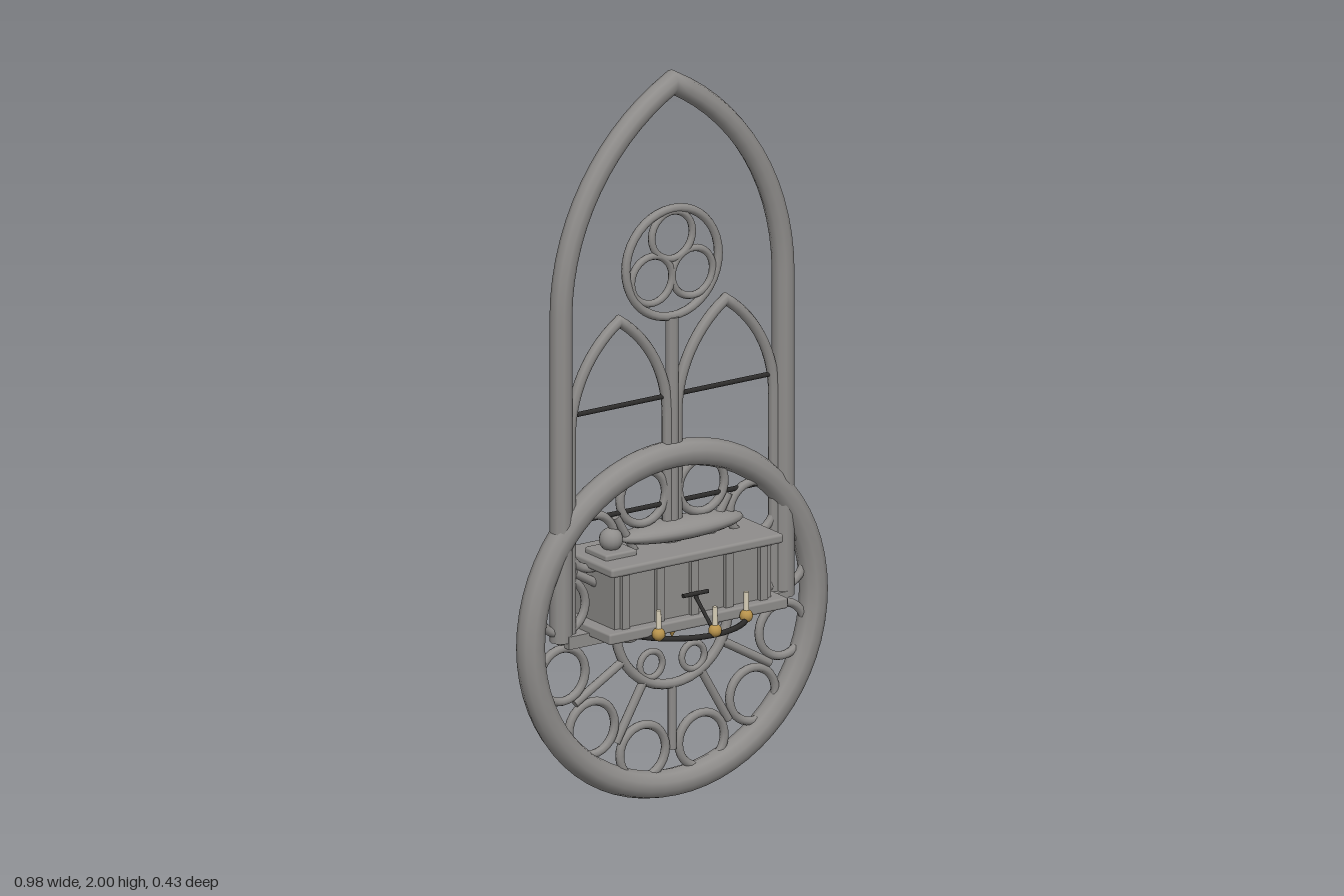
import * as THREE from 'three';
import { RoundedBoxGeometry } from 'three/addons/geometries/RoundedBoxGeometry.js';

const mat = (name, color) => {
  const m = new THREE.MeshStandardMaterial({ color });
  m.name = name;
  return m;
};

export function createModel() {
  const stone = mat('stone', 0x8f8d8b);
  const iron = mat('dark iron', 0x2e2d2c);
  const brass = mat('brass', 0xb8934c);
  const wax = mat('candle wax', 0xd8cfb8);
  const model = new THREE.Group();

  const group = (name) => {
    const g = new THREE.Group();
    g.name = name;
    model.add(g);
    return g;
  };
  const add = (parent, name, geo, material, x = 0, y = 0, z = 0) => {
    const m = new THREE.Mesh(geo, material);
    m.name = name;
    m.position.set(x, y, z);
    parent.add(m);
    return m;
  };
  const ring = (parent, name, x, y, R, r, sides = 8, segs = 28) =>
    add(parent, name, new THREE.TorusGeometry(R, r, sides, segs), stone, x, y);
  // round bar between two points
  const bar = (parent, name, a, b, r, material) => {
    const p = new THREE.Vector3(...a), q = new THREE.Vector3(...b);
    const d = q.clone().sub(p);
    const m = add(parent, name, new THREE.CylinderGeometry(r, r, d.length(), 8), material);
    m.position.copy(p).add(q).multiplyScalar(0.5);
    m.quaternion.setFromUnitVectors(new THREE.Vector3(0, 1, 0), d.normalize());
    return m;
  };

  // round moulding swept along a flat path, mitred at corners
  const sweep = (pts, r, sides = 10) => {
    const geo = new THREE.PlaneGeometry(1, 1, sides, pts.length - 1);
    const { position, normal } = geo.attributes;
    pts.forEach((p, i) => {
      const t0 = p.clone().sub(pts[Math.max(i - 1, 0)]).normalize();
      const t1 = pts[Math.min(i + 1, pts.length - 1)].clone().sub(p).normalize();
      if (i === 0) t0.copy(t1);
      if (i === pts.length - 1) t1.copy(t0);
      const t = t0.clone().add(t1).normalize();
      const k = r / t.dot(t1);
      for (let j = 0; j <= sides; j++) {
        const a = (j / sides) * Math.PI * 2, c = Math.cos(a), s = Math.sin(a);
        const v = i * (sides + 1) + j;
        position.setXYZ(v, p.x + t.y * c * k, p.y - t.x * c * k, s * r);
        normal.setXYZ(v, t.y * c, -t.x * c, s);
      }
    });
    return geo;
  };
  // pointed arch path: half-span w, foot, springing and apex heights
  const archPath = (w, foot, spring, apex, n = 14) => {
    const h = apex - spring, R = (w * w + h * h) / (2 * w);
    const end = Math.asin(h / R), right = [new THREE.Vector2(w, foot)];
    for (let i = 0; i <= n; i++) {
      const a = (end * i) / n;
      right.push(new THREE.Vector2(w - R + R * Math.cos(a), spring + R * Math.sin(a)));
    }
    right[right.length - 1].x = 0;
    const left = right.slice(0, -1).reverse().map((p) => new THREE.Vector2(-p.x, p.y));
    return [...right, ...left];
  };

  // lancet window
  const lancet = group('lancetWindow');
  add(lancet, 'mainArch', sweep(archPath(0.355, 0.49, 1.38, 1.966), 0.03), stone);
  for (const s of [-1, 1])
    add(lancet, 'subArch', sweep(archPath(0.155, 0.5, 1.05, 1.338), 0.015, 8), stone, s * 0.17);
  bar(lancet, 'mullion', [0, 0.5, 0], [0, 1.32, 0], 0.018, stone);
  for (const y of [0.81, 1.105])
    bar(lancet, 'ironTieBar', [-0.34, y, 0], [0.34, y, 0], 0.007, iron);
  add(lancet, 'sill', new THREE.BoxGeometry(0.7, 0.035, 0.06), stone, 0, 0.49);

  // trefoil roundel
  const roundel = group('trefoilRoundel');
  ring(roundel, 'roundelRing', 0, 1.47, 0.148, 0.012, 8, 40);
  for (let i = 0; i < 3; i++) {
    const a = Math.PI / 2 + (i * Math.PI * 2) / 3;
    ring(roundel, 'foil', 0.075 * Math.cos(a), 1.47 + 0.075 * Math.sin(a), 0.065, 0.01);
  }

  // rose window
  const rose = group('roseWindow');
  const cy = 0.49;
  ring(rose, 'outerRing', 0, cy, 0.452, 0.038, 10, 64);
  ring(rose, 'innerRing', 0, cy, 0.18, 0.014, 8, 40);
  for (let i = 0; i < 12; i++) {
    const a = (i * Math.PI) / 6, b = a + Math.PI / 12;
    bar(rose, 'spoke', [0.18 * Math.cos(a), cy + 0.18 * Math.sin(a), 0],
      [0.36 * Math.cos(a), cy + 0.36 * Math.sin(a), 0], 0.012, stone);
    ring(rose, 'outerFoil', 0.363 * Math.cos(b), cy + 0.363 * Math.sin(b), 0.073, 0.012);
    if (i % 2) // inner foils on alternate spokes, offset from the vertical
      ring(rose, 'innerFoil', 0.134 * Math.cos(a + Math.PI / 6),
        cy + 0.134 * Math.sin(a + Math.PI / 6), 0.036, 0.009, 8, 20)
        .position.set(0.134 * Math.sin(a), cy + 0.134 * Math.cos(a), 0);
  }

  // casket with panelled sides
  const casket = group('casket');
  add(casket, 'base', new RoundedBoxGeometry(0.57, 0.03, 0.25, 2, 0.006), stone, 0, 0.512);
  add(casket, 'body', new THREE.BoxGeometry(0.5, 0.16, 0.19), stone, 0, 0.602);
  add(casket, 'lid', new RoundedBoxGeometry(0.55, 0.026, 0.24, 2, 0.008), stone, 0, 0.69);
  for (const s of [-1, 1])
    for (let i = 0; i < 5; i++)
      add(casket, 'pilaster', new THREE.BoxGeometry(0.024, 0.155, 0.014), stone,
        -0.22 + i * 0.11, 0.603, s * 0.1);

  // reclining effigy
  const effigy = group('effigy');
  add(effigy, 'recliningBody', new THREE.SphereGeometry(1, 24, 14), stone, 0.03, 0.735)
    .scale.set(0.195, 0.03, 0.057);
  add(effigy, 'head', new THREE.SphereGeometry(0.032, 16, 12), stone, -0.195, 0.742);
  add(effigy, 'pillow', new RoundedBoxGeometry(0.1, 0.02, 0.1, 2, 0.006), stone, -0.195, 0.708);

  // candle hoop below the casket
  const hoop = group('candleHoop');
  add(hoop, 'ironHoop', new THREE.TorusGeometry(0.197, 0.008, 8, 48), iron, 0, 0.495)
    .rotation.x = Math.PI / 2;
  for (const s of [-1, 1]) {
    bar(hoop, 'strut', [0, 0.5, s * 0.197], [0, 0.585, s * 0.1], 0.005, iron);
    bar(hoop, 'bracket', [-0.04, 0.585, s * 0.108], [0.04, 0.585, s * 0.108], 0.006, iron);
    for (const a of [-Math.PI / 4, 0, Math.PI / 4]) {
      const x = 0.198 * Math.sin(a), z = s * 0.198 * Math.cos(a);
      add(hoop, 'candleCup', new THREE.SphereGeometry(0.018, 14, 10), brass, x, 0.507, z);
      add(hoop, 'candle', new THREE.CylinderGeometry(0.007, 0.008, 0.06, 10), wax, x, 0.543, z);
    }
  }
  add(hoop, 'pendant', new THREE.ConeGeometry(0.022, 0.045, 14), brass, 0, 0.458)
    .rotation.x = Math.PI;

  return model;
}
